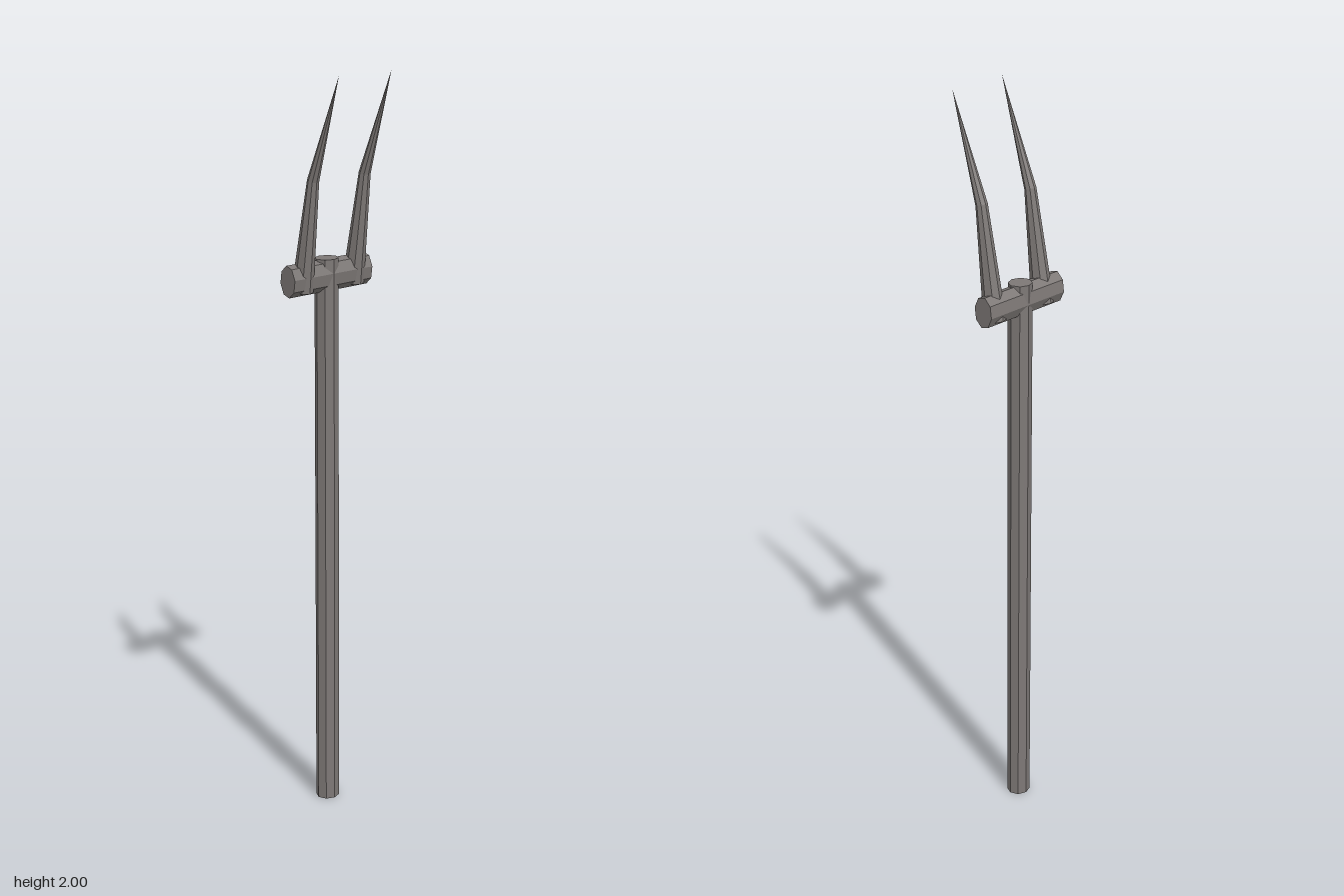
import * as THREE from 'three';

const SIDES = 8;

// Loft eight-sided rings (each {y, z, rx, rz, tilt}) into a closed spike that ends in a point
function spikeGeometry(rings, tip) {
  const points = [];
  for (const { y, z, rx, rz, tilt } of rings) {
    for (let i = 0; i < SIDES; i++) {
      const a = (i / SIDES) * Math.PI * 2;
      points.push(rx * Math.sin(a), y - tilt * Math.cos(a), z + rz * Math.cos(a));
    }
  }
  const tipIndex = points.length / 3;
  points.push(0, tip.y, tip.z, 0, rings[0].y, rings[0].z);
  const index = [];
  rings.forEach((ring, r) => {
    for (let i = 0; i < SIDES; i++) {
      const a = r * SIDES + i;
      const b = r * SIDES + (i + 1) % SIDES;
      if (r === 0) index.push(b, a, tipIndex + 1);
      if (r < rings.length - 1) index.push(a, b, b + SIDES, a, b + SIDES, a + SIDES);
      else index.push(a, b, tipIndex);
    }
  });
  const geometry = new THREE.BufferGeometry();
  geometry.setAttribute('position', new THREE.Float32BufferAttribute(points, 3));
  geometry.setIndex(index);
  const flat = geometry.toNonIndexed();
  flat.computeVertexNormals();
  return flat;
}

export function createModel() {
  const model = new THREE.Group();
  model.name = 'twoProngedFork';

  const metal = new THREE.MeshStandardMaterial({ color: 0x7d7876 });
  metal.name = 'dullGreyMetal';
  metal.flatShading = true;

  const add = (name, geometry, x, y, z) => {
    const mesh = new THREE.Mesh(geometry, metal);
    mesh.name = name;
    mesh.position.set(x, y, z);
    model.add(mesh);
  };

  // Long octagonal shaft, its top just clearing the crossbar
  const shaft = new THREE.CylinderGeometry(0.032, 0.032, 1.515, SIDES);
  shaft.scale(1, 1, 0.94);
  add('shaft', shaft, -0.001, 0.7575, -0.058);

  // Crossbar: oval octagonal bar, turned slightly about its length
  const bar = new THREE.CylinderGeometry(0.03, 0.03, 0.257, SIDES, 1, false, THREE.MathUtils.degToRad(11));
  bar.rotateZ(Math.PI / 2);
  bar.scale(1, 1.4, 1);
  add('crossbar', bar, 0, 1.47, -0.058);

  // Two tapering prongs, each bent forward halfway up
  const prong = spikeGeometry([
    { y: 1.44, z: -0.058, rx: 0.027, rz: 0.03, tilt: 0.004 },
    { y: 1.73, z: -0.013, rx: 0.016, rz: 0.014, tilt: 0.004 },
  ], { y: 2, z: 0.087 });
  add('rightProng', prong, -0.081, 0, 0);
  add('leftProng', prong, 0.088, 0, 0);

  return model;
}
